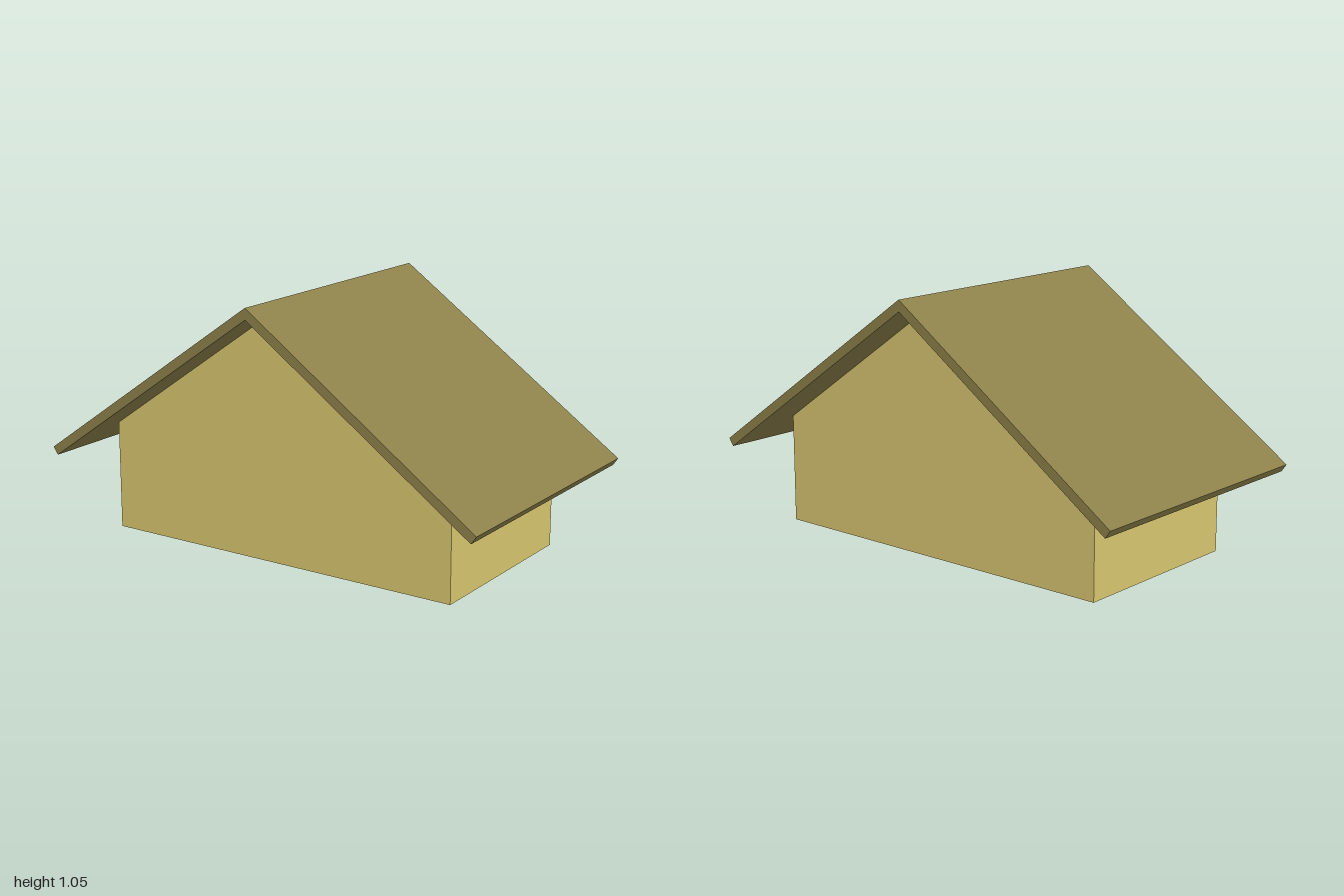
import * as THREE from 'three';

const HALF_W = 0.797, HALF_D = 0.4, WALL = 0.04; // body
const RIDGE = 1.055, SLOPE = 0.698, ROOF_T = 0.038, ROOF_D = 0.578; // roof

// Prism from an x/y outline, running from z0 to z1
function prism(name, points, z0, z1, material) {
  const shape = new THREE.Shape(points.map(([x, y]) => new THREE.Vector2(x, y)));
  const geometry = new THREE.ExtrudeGeometry(shape, { depth: z1 - z0, bevelEnabled: false });
  const mesh = new THREE.Mesh(geometry, material);
  mesh.name = name;
  mesh.position.z = z0;
  return mesh;
}

export function createModel() {
  const model = new THREE.Group();
  model.name = 'gabledHouse';
  const wallMat = new THREE.MeshStandardMaterial({ color: 0xd8c670 });
  const roofMat = new THREE.MeshStandardMaterial({ color: 0x8d814a });
  const floorMat = new THREE.MeshStandardMaterial({ color: 0x858585 });

  // Underside of the roof at a given distance from the ridge
  const len = Math.hypot(1, SLOPE);
  const underRidge = RIDGE - ROOF_T * len;
  const under = (x) => underRidge - SLOPE * Math.abs(x);

  // Gable walls, front and back
  const gable = [[-HALF_W, 0], [HALF_W, 0], [HALF_W, under(HALF_W)], [0, underRidge], [-HALF_W, under(HALF_W)]];
  model.add(prism('frontGable', gable, HALF_D - WALL, HALF_D, wallMat));
  model.add(prism('backGable', gable, -HALF_D, -HALF_D + WALL, wallMat));

  // Side walls and roof slopes, mirrored about the ridge
  const inner = HALF_W - WALL;
  const eaveX = 1 - (ROOF_T * SLOPE) / len, eaveY = RIDGE - SLOPE;
  for (const [side, s] of [['left', 1], ['right', -1]]) {
    const mirror = (points) => points.map(([x, y]) => [s * x, y]);
    const wall = [[inner, 0], [HALF_W, 0], [HALF_W, under(HALF_W)], [inner, under(inner)]];
    model.add(prism(side + 'Wall', mirror(wall), -HALF_D + WALL, HALF_D - WALL, wallMat));

    const slope = [[0, underRidge], [eaveX, under(eaveX)], [1, eaveY], [0, RIDGE]];
    model.add(prism(side + 'RoofSlope', mirror(slope), -ROOF_D, ROOF_D, roofMat));
  }

  // Floor slab set between the walls
  const floor = new THREE.Mesh(new THREE.BoxGeometry(2 * inner, WALL, 2 * (HALF_D - WALL)), floorMat);
  floor.name = 'floor';
  floor.position.y = WALL / 2;
  model.add(floor);

  return model;
}
